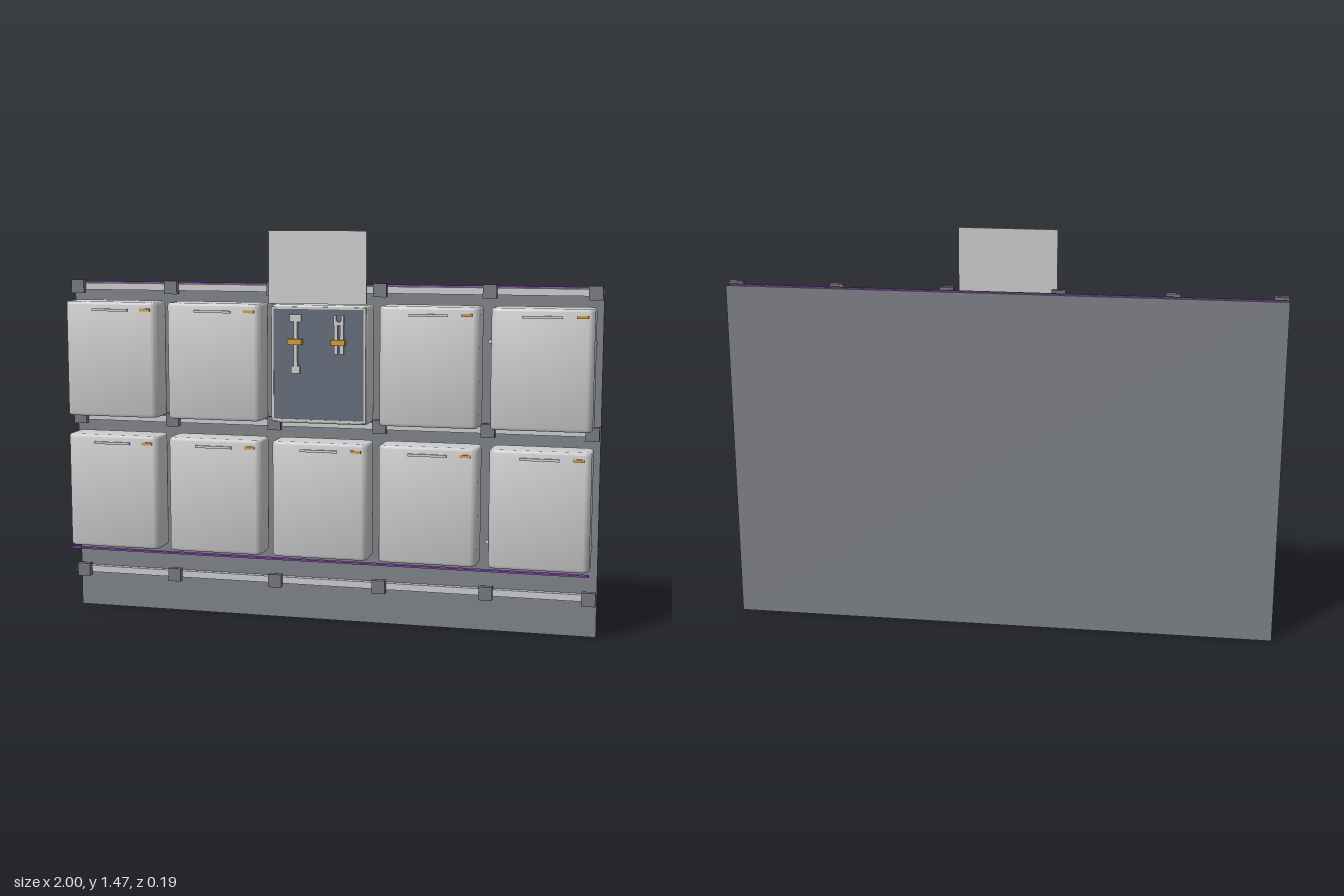
import * as THREE from 'three';
import { toCreasedNormals } from 'three/addons/utils/BufferGeometryUtils.js';

const mat = (color) => new THREE.MeshStandardMaterial({ color });
const grey = mat(0xcccccc);
const wallGrey = mat(0x7d8087);
const bracketGrey = mat(0x75777c);
const recessBlue = mat(0x626a78);
const orange = mat(0xd09a3c);
const purple = mat(0x8a4fb0);

// Box given by centre and size
function box(parent, name, material, [x, y, z], [w, h, d]) {
  const mesh = new THREE.Mesh(new THREE.BoxGeometry(w, h, d), material);
  mesh.position.set(x, y, z);
  mesh.name = name;
  parent.add(mesh);
  return mesh;
}

function roundedRect(w, h, r) {
  const s = new THREE.Shape();
  const x = w / 2, y = h / 2;
  s.moveTo(-x + r, -y);
  s.lineTo(x - r, -y);
  s.absarc(x - r, -y + r, r, -Math.PI / 2, 0);
  s.lineTo(x, y - r);
  s.absarc(x - r, y - r, r, 0, Math.PI / 2);
  s.lineTo(-x + r, y);
  s.absarc(-x + r, y - r, r, Math.PI / 2, Math.PI);
  s.lineTo(-x, -y + r);
  s.absarc(-x + r, -y + r, r, Math.PI, Math.PI * 1.5);
  return s;
}

// Locker body: rounded plan, extruded upwards, with softened top and bottom rims
function lockerGeometry(w, h, d) {
  const bevel = 0.01;
  const g = new THREE.ExtrudeGeometry(roundedRect(w, d, 0.028), {
    depth: h - 2 * bevel, bevelThickness: bevel, bevelSize: bevel,
    bevelOffset: -bevel, bevelSegments: 3, curveSegments: 6,
  });
  g.rotateX(-Math.PI / 2);
  g.center();
  return toCreasedNormals(g, 0.6);
}

export function createModel() {
  const model = new THREE.Group();
  model.name = 'lockerWall';

  // Back wall
  box(model, 'wallPanel', wallGrey, [0, 0.632, -0.09], [2, 1.265, 0.013]);

  // Mounting rails and their brackets
  const bracketXs = [-0.973, -0.6, -0.2, 0.2, 0.6, 0.973];
  for (const y of [0.148, 0.75, 1.25]) {
    box(model, 'rail', grey, [0, y, -0.0725], [1.99, 0.025, 0.021]);
    for (const x of bracketXs) {
      box(model, 'railBracket', bracketGrey, [x, y, -0.052], [0.05, 0.05, 0.023]);
    }
  }

  // Wall bolts between the lockers
  const boltGeo = new THREE.CylinderGeometry(0.008, 0.008, 0.008, 12).rotateX(Math.PI / 2);
  for (const x of bracketXs) {
    for (const y of [0.335, 1.07]) {
      const bolt = new THREE.Mesh(boltGeo, grey);
      bolt.position.set(x, y, -0.08);
      bolt.name = 'wallBolt';
      model.add(bolt);
    }
  }

  // Purple light strips
  box(model, 'topLightStrip', purple, [0, 1.266, -0.084], [1.98, 0.006, 0.008]);
  box(model, 'bottomLightStrip', purple, [0, 0.26, 0.06], [1.96, 0.006, 0.02]);

  // Two rows of lockers; the upper middle one is open
  const bodyGeo = lockerGeometry(0.36, 0.43, 0.13);
  for (const y of [0.485, 0.985]) {
    for (let i = -2; i <= 2; i++) {
      const locker = new THREE.Group();
      const open = i === 0 && y > 0.7;
      locker.name = open ? 'openLocker' : 'locker';
      locker.position.set(i * 0.4, y, 0.005);
      const body = new THREE.Mesh(bodyGeo, grey);
      body.name = 'lockerBody';
      locker.add(body);
      if (open) {
        box(locker, 'toolBoard', recessBlue, [0, 0, 0.0655], [0.336, 0.4, 0.003]);
        for (const s of [-1, 1]) {
          box(locker, 'frameSide', grey, [s * 0.171, 0, 0.0655], [0.008, 0.416, 0.006]);
          box(locker, 'frameEnd', grey, [0, s * 0.204, 0.0655], [0.35, 0.008, 0.006]);
        }
      } else {
        box(locker, 'doorHandle', grey, [0, 0.185, 0.0675], [0.14, 0.009, 0.008]);
        box(locker, 'doorLabel', orange, [0.138, 0.187, 0.067], [0.04, 0.01, 0.006]);
      }
      model.add(locker);
    }
  }

  // Raised door of the open locker
  box(model, 'raisedDoor', grey, [0, 1.335, 0.0845], [0.36, 0.26, 0.01]);

  // Wrench: shaft, jaw with two tips, and foot
  const wrench = new THREE.Group();
  wrench.name = 'wrench';
  wrench.position.set(-0.083, 0, 0.077);
  box(wrench, 'wrenchShaft', grey, [0, 1.06, 0], [0.014, 0.18, 0.009]);
  box(wrench, 'wrenchHead', grey, [0, 1.153, 0], [0.042, 0.026, 0.01]);
  box(wrench, 'wrenchFoot', grey, [0, 0.966, 0], [0.032, 0.026, 0.01]);
  model.add(wrench);

  // Pliers: two arms joined at the top
  const pliers = new THREE.Group();
  pliers.name = 'pliers';
  pliers.position.set(0.077, 0, 0.077);
  for (const s of [-1, 1]) {
    box(pliers, 'pliersArm', grey, [s * 0.011, 1.085, 0], [0.013, 0.12, 0.009]);
    box(pliers, 'pliersJaw', grey, [s * 0.014, 1.15, 0], [0.01, 0.03, 0.009]);
  }
  box(pliers, 'pliersJoint', grey, [0, 1.135, 0], [0.036, 0.012, 0.01]);
  model.add(pliers);

  // Orange clips holding the tools
  for (const x of [-0.083, 0.077]) {
    box(model, 'toolClip', orange, [x, 1.068, 0.084], [0.052, 0.02, 0.026]);
  }

  return model;
}
